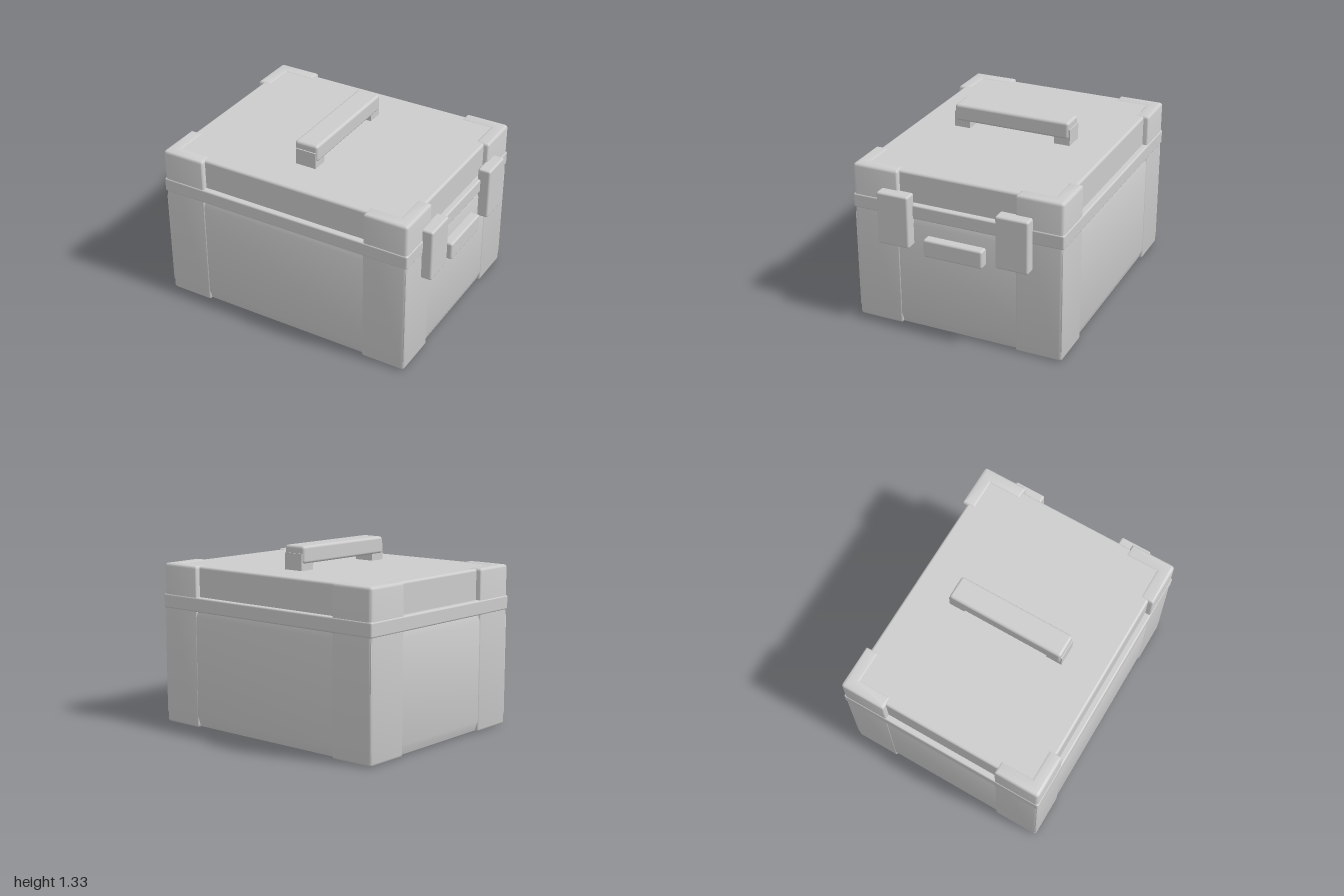
import * as THREE from 'three';
import { toCreasedNormals } from 'three/addons/utils/BufferGeometryUtils.js';
import { RoundedBoxGeometry } from 'three/addons/geometries/RoundedBoxGeometry.js';

const X0 = -1, X1 = 0.925, Z = 0.775; // outer extents of the case
const CX = (X0 + X1) / 2, HX = (X1 - X0) / 2;

export function createModel() {
  const group = new THREE.Group();
  const grey = new THREE.MeshStandardMaterial({ color: 0xcccccc });
  grey.name = 'light grey';

  const add = (name, geometry) => {
    const mesh = new THREE.Mesh(geometry, grey);
    mesh.name = name;
    group.add(mesh);
    return mesh;
  };

  // Rounded block given by its extents
  const block = (name, x0, x1, y0, y1, z0, z1, r = 0.015) =>
    add(name, new RoundedBoxGeometry(x1 - x0, y1 - y0, z1 - z0, 3, r))
      .position.set((x0 + x1) / 2, (y0 + y1) / 2, (z0 + z1) / 2);

  // Plan outline raised from y0 to y1, with bevelled top and bottom rims
  const raise = (name, shape, y0, y1, rise, size, steps) => {
    const g = new THREE.ExtrudeGeometry(shape, {
      depth: y1 - y0 - 2 * rise, bevelThickness: rise, bevelSize: size,
      bevelOffset: -size, bevelSegments: steps, curveSegments: 4,
    });
    g.rotateX(-Math.PI / 2).translate(0, y0 + rise, 0);
    return add(name, toCreasedNormals(g, 0.6));
  };

  const rectangle = (hx, hz) => new THREE.Shape([
    new THREE.Vector2(CX - hx, -hz), new THREE.Vector2(CX + hx, -hz),
    new THREE.Vector2(CX + hx, hz), new THREE.Vector2(CX - hx, hz),
  ]);

  // Lower body: its walls draw in slightly at the rim and the base
  raise('body', rectangle(HX - 0.008, Z - 0.008), 0.01, 0.87, 0.07, 0.022, 1);

  // Rim band and recessed lid
  block('rimBand', X0, X1, 0.842, 0.945, -Z, Z, 0.012);
  block('lid', X0 + 0.042, X1 - 0.042, 0.9, 1.162, -Z + 0.043, Z - 0.043, 0.018);

  // L-shaped guards on the four corners
  for (const sx of [-1, 1]) for (const sz of [-1, 1]) {
    const a = HX - 0.005, b = Z - 0.005, r = 0.025, t = 0.1;
    const la = HX - 0.33, lb = 0.433;
    const X = (v) => CX + sx * v, Y = (v) => sz * v;
    const s = new THREE.Shape();
    s.moveTo(X(la), Y(b - t));
    s.lineTo(X(la), Y(b - 0.012));
    s.quadraticCurveTo(X(la), Y(b), X(la + 0.012), Y(b));
    s.lineTo(X(a - r), Y(b));
    s.quadraticCurveTo(X(a), Y(b), X(a), Y(b - r));
    s.lineTo(X(a), Y(lb + 0.012));
    s.quadraticCurveTo(X(a), Y(lb), X(a - 0.012), Y(lb));
    s.lineTo(X(a - t), Y(lb));
    s.lineTo(X(a - t), Y(b - t));
    s.closePath();
    raise('cornerGuard', s, 0, 1.167, 0.02, 0.02, 3);
  }

  // Two latches and a small plate on one end
  for (const s of [-1, 1])
    block('latch', 0.9, 0.995, 0.645, 1.027, s * 0.437 - 0.118, s * 0.437 + 0.118);
  block('namePlate', 0.89, 0.982, 0.605, 0.735, -0.217, 0.219);

  // Carrying handle on two posts
  block('handle', -0.125, 0.052, 1.21, 1.333, -0.435, 0.435, 0.02);
  for (const s of [-1, 1]) {
    const post = add('handlePost', new THREE.BoxGeometry(0.154, 0.13, 0.119));
    post.position.set(-0.036, 1.215, s * 0.384);
  }

  return group;
}
